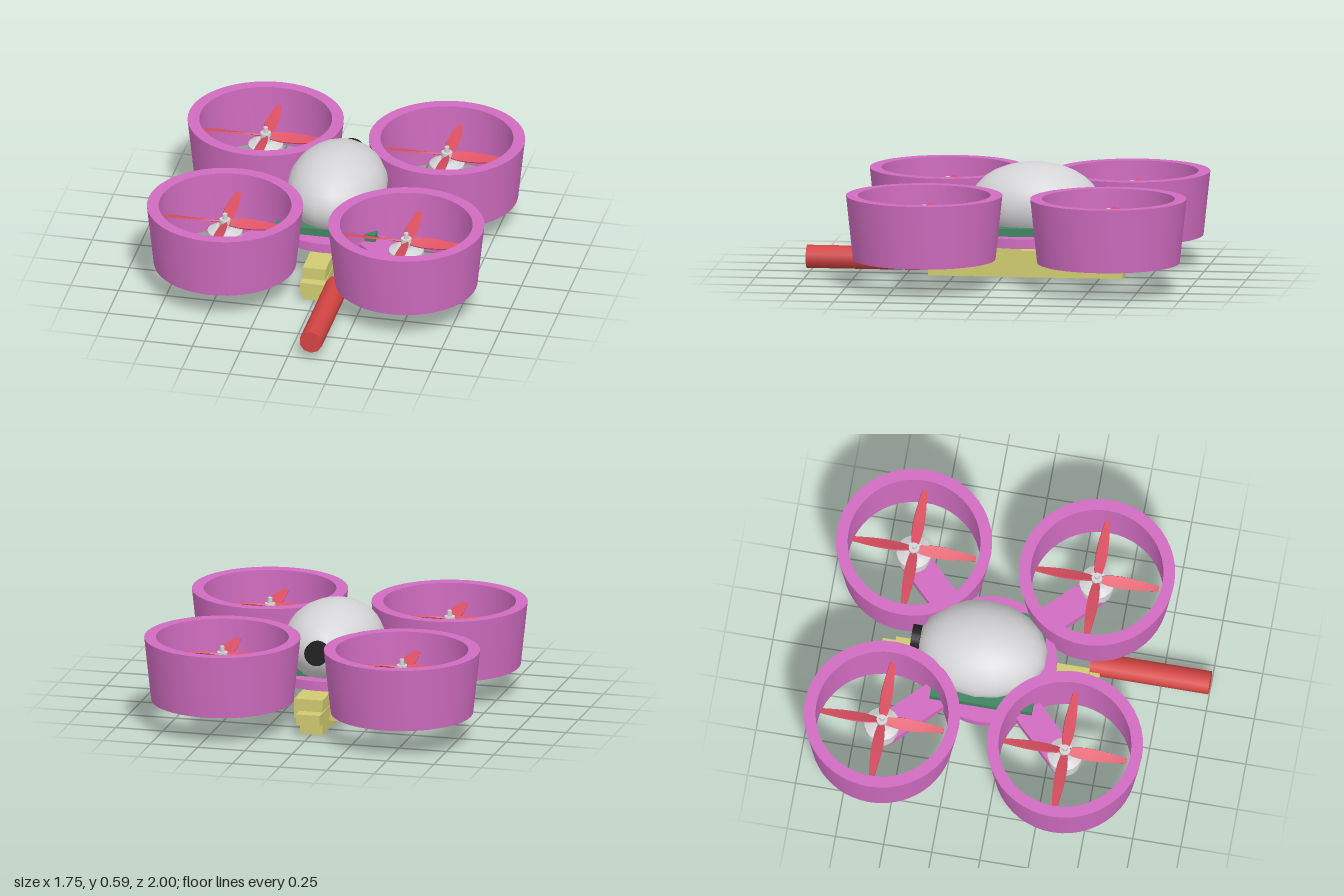
import * as THREE from 'three';
import { toCreasedNormals } from 'three/addons/utils/BufferGeometryUtils.js';

const mat = (name, color) => {
  const m = new THREE.MeshStandardMaterial({ color });
  m.name = name;
  return m;
};

export function createModel() {
  const pink = mat('orchid pink', 0xd06cc0);
  const shell = mat('light grey', 0xd4d4d6);
  const yellow = mat('mustard yellow', 0xcfca70);
  const red = mat('barrel red', 0xd44444);
  const rose = mat('blade red', 0xdb5062);
  const green = mat('board green', 0x3f8460);
  const black = mat('lens black', 0x222224);

  const model = new THREE.Group();
  model.name = 'drone';

  const add = (parent, name, geo, material, x = 0, y = 0, z = 0) => {
    const m = new THREE.Mesh(geo, material);
    m.name = name;
    m.position.set(x, y, z);
    parent.add(m);
    return m;
  };
  // Box given by its lower and upper corner
  const box = (name, material, x0, x1, y0, y1, z0, z1) =>
    add(model, name, new THREE.BoxGeometry(x1 - x0, y1 - y0, z1 - z0), material,
      (x0 + x1) / 2, (y0 + y1) / 2, (z0 + z1) / 2);
  // Upright cylinder from y0 to y1
  const drum = (parent, name, material, r0, r1, y0, y1, sides = 20) =>
    add(parent, name, new THREE.CylinderGeometry(r1, r0, y1 - y0, sides), material, 0, (y0 + y1) / 2, 0);

  // Body: shell, circuit board, round base plate, rear lens
  add(model, 'bodyShell', new THREE.SphereGeometry(1, 18, 14), shell, 0, 0.38, -0.16)
    .scale.set(0.255, 0.21, 0.335);
  box('circuitBoard', green, -0.265, 0.265, 0.24, 0.28, -0.39, 0.14);
  add(model, 'basePlate', new THREE.CylinderGeometry(0.345, 0.345, 0.05, 40), pink, 0, 0.215, -0.125);
  add(model, 'rearLens', new THREE.CylinderGeometry(0.062, 0.062, 0.045, 20), black, 0, 0.4, -0.505)
    .rotation.x = Math.PI / 2;

  // Underslung keel with its cross-shaped section
  box('keelBeam', yellow, -0.06, 0.06, 0, 0.185, -0.62, 0.385);
  box('keelCore', yellow, -0.063, 0.063, 0.065, 0.122, -0.69, 0.437);
  box('keelSideBlock', yellow, -0.125, 0.125, 0.043, 0.147, -0.49, -0.1);

  // Barrel
  add(model, 'barrel', new THREE.CylinderGeometry(0.06, 0.06, 0.62, 10), red, 0.12, 0.096, 0.69)
    .rotation.x = Math.PI / 2;

  // Tapered duct with a straight bore
  const ductGeo = toCreasedNormals(new THREE.LatheGeometry(
    [[0.34, 0.15], [0.365, 0.15], [0.4, 0.48], [0.34, 0.48], [0.34, 0.15]]
      .map(([r, y]) => new THREE.Vector2(r, y)), 48), 0.6);

  // Twisted blade along +x: chord and pitch change with radius
  const bladeBase = new THREE.BoxGeometry(0.31, 0.008, 1, 10, 1, 2);
  const p = bladeBase.attributes.position;
  for (let i = 0; i < p.count; i++) {
    const t = THREE.MathUtils.clamp(p.getX(i) / 0.31 + 0.5, 0, 1);
    const chord = 0.026 + 0.04 * Math.sin(Math.PI * Math.pow(t, 0.75)) * (1 - 0.2 * t);
    const pitch = 0.6 - 0.35 * t;
    const y = p.getY(i), z = p.getZ(i) * chord;
    p.setXYZ(i, 0.01 + 0.31 * t,
      y * Math.cos(pitch) - z * Math.sin(pitch),
      y * Math.sin(pitch) + z * Math.cos(pitch));
  }
  const bladeGeo = toCreasedNormals(bladeBase, 0.5);

  // Four rotor units, each with arm, duct, motor and propeller
  for (const sx of [-1, 1]) for (const sz of [-1, 1]) {
    const rotor = new THREE.Group();
    rotor.name = (sz > 0 ? 'front' : 'rear') + (sx > 0 ? 'Left' : 'Right') + 'Rotor';
    rotor.position.set(sx * 0.475, 0, -0.125 + sz * 0.475);
    model.add(rotor);

    add(rotor, 'duct', ductGeo, pink);
    add(rotor, 'arm', new THREE.BoxGeometry(0.46, 0.05, 0.15), pink,
      -sx * 0.155, 0.2145, -sz * 0.155).rotation.y = -sx * sz * Math.PI / 4;

    drum(rotor, 'motorBase', shell, 0.08, 0.08, 0.225, 0.265);
    drum(rotor, 'motorCoil', yellow, 0.074, 0.074, 0.265, 0.295);
    drum(rotor, 'motorBell', shell, 0.09, 0.09, 0.295, 0.335);
    drum(rotor, 'motorCap', shell, 0.09, 0.05, 0.335, 0.355);
    drum(rotor, 'propHub', shell, 0.028, 0.028, 0.355, 0.4, 12);
    drum(rotor, 'shaft', shell, 0.012, 0.012, 0.4, 0.43, 10);
    for (let k = 0; k < 4; k++) {
      add(rotor, 'blade', bladeGeo, rose, 0, 0.382, 0).rotation.y = k * Math.PI / 2;
    }
  }
  return model;
}
